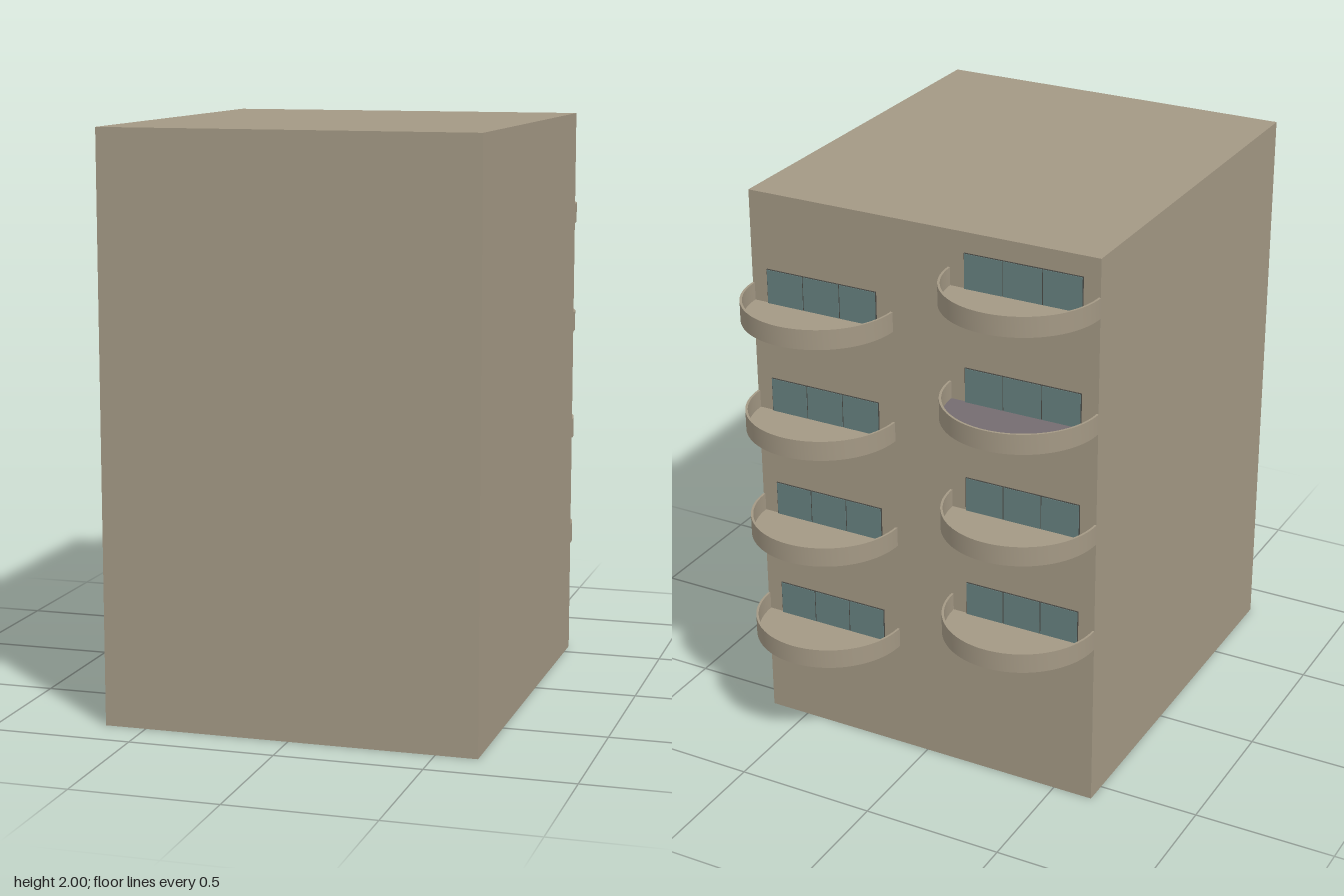
import * as THREE from 'three';
import { toCreasedNormals } from 'three/addons/utils/BufferGeometryUtils.js';

const BACK = -0.58, FRONT = 0.85, HALF_W = 0.643, HEIGHT = 2;
const RADIUS = 0.27, RIM = 0.008, RIM_H = 0.07, FLOOR_H = 0.008;

const stone = new THREE.MeshStandardMaterial({ color: 0xa39884, side: THREE.DoubleSide });
const greyFloor = new THREE.MeshStandardMaterial({ color: 0x746c70 });
const glass = new THREE.MeshStandardMaterial({ color: 0x66807f });
const frame = new THREE.MeshStandardMaterial({ color: 0x4a4a45 });

function addMesh(parent, name, geometry, material, x = 0, y = 0, z = 0) {
  const mesh = new THREE.Mesh(geometry, material);
  mesh.name = name;
  mesh.position.set(x, y, z);
  parent.add(mesh);
  return mesh;
}

// Extrudes a plan shape upwards; the plan's +y points to the back (-z)
function extrudeUp(shape, height) {
  const g = new THREE.ExtrudeGeometry(shape, { depth: height, bevelEnabled: false, curveSegments: 32 });
  g.rotateX(-Math.PI / 2);
  return toCreasedNormals(g, Math.PI / 6);
}

// Walls and roof: a thin shell open at the bottom
function buildingShell() {
  const g = new THREE.BoxGeometry(HALF_W * 2, HEIGHT, FRONT - BACK);
  const bottom = g.groups[3];
  g.setIndex([...g.index.array].filter((_, i) => i < bottom.start || i >= bottom.start + bottom.count));
  g.clearGroups();
  return g;
}

function rimGeometry() {
  const shape = new THREE.Shape();
  shape.absarc(0, 0, RADIUS, 0, Math.PI, false);
  shape.absarc(0, 0, RADIUS - RIM, Math.PI, 0, true);
  shape.closePath();
  return extrudeUp(shape, RIM_H);
}

function floorGeometry() {
  const shape = new THREE.Shape();
  shape.absarc(0, 0, RADIUS - RIM / 2, 0, Math.PI, false);
  shape.closePath();
  return extrudeUp(shape, FLOOR_H);
}

// Three glass panes on a thin dark backing that shows as narrow frame lines
function createWindow() {
  const group = new THREE.Group();
  group.name = 'window';
  const width = 0.42, height = 0.13, panes = 3, pitch = width / panes;
  addMesh(group, 'windowFrame', new THREE.BoxGeometry(width, height, 0.004), frame, 0, height / 2, -0.002);
  const pane = new THREE.BoxGeometry(pitch - 0.004, height - 0.004, 0.004);
  for (let i = 0; i < panes; i++) {
    addMesh(group, 'windowPane', pane, glass, (i - (panes - 1) / 2) * pitch, height / 2, -0.004);
  }
  return group;
}

export function createModel() {
  const model = new THREE.Group();
  model.name = 'apartmentBlock';
  addMesh(model, 'building', buildingShell(), stone, 0, HEIGHT / 2, (FRONT + BACK) / 2);

  const rim = rimGeometry();
  const floor = floorGeometry();

  // Two columns of balconies, the right one half a storey higher
  for (const side of [1, -1]) {
    for (let storey = 0; storey < 4; storey++) {
      const balcony = new THREE.Group();
      balcony.name = side > 0 ? 'leftBalcony' : 'rightBalcony';
      balcony.position.set(side * 0.374, (side > 0 ? 0.4 : 0.6) + storey * 0.4, BACK);
      const isGrey = side < 0 && storey === 2;
      addMesh(balcony, 'balconyRim', rim, stone);
      addMesh(balcony, 'balconyFloor', floor, isGrey ? greyFloor : stone);
      balcony.add(createWindow());
      model.add(balcony);
    }
  }
  return model;
}
